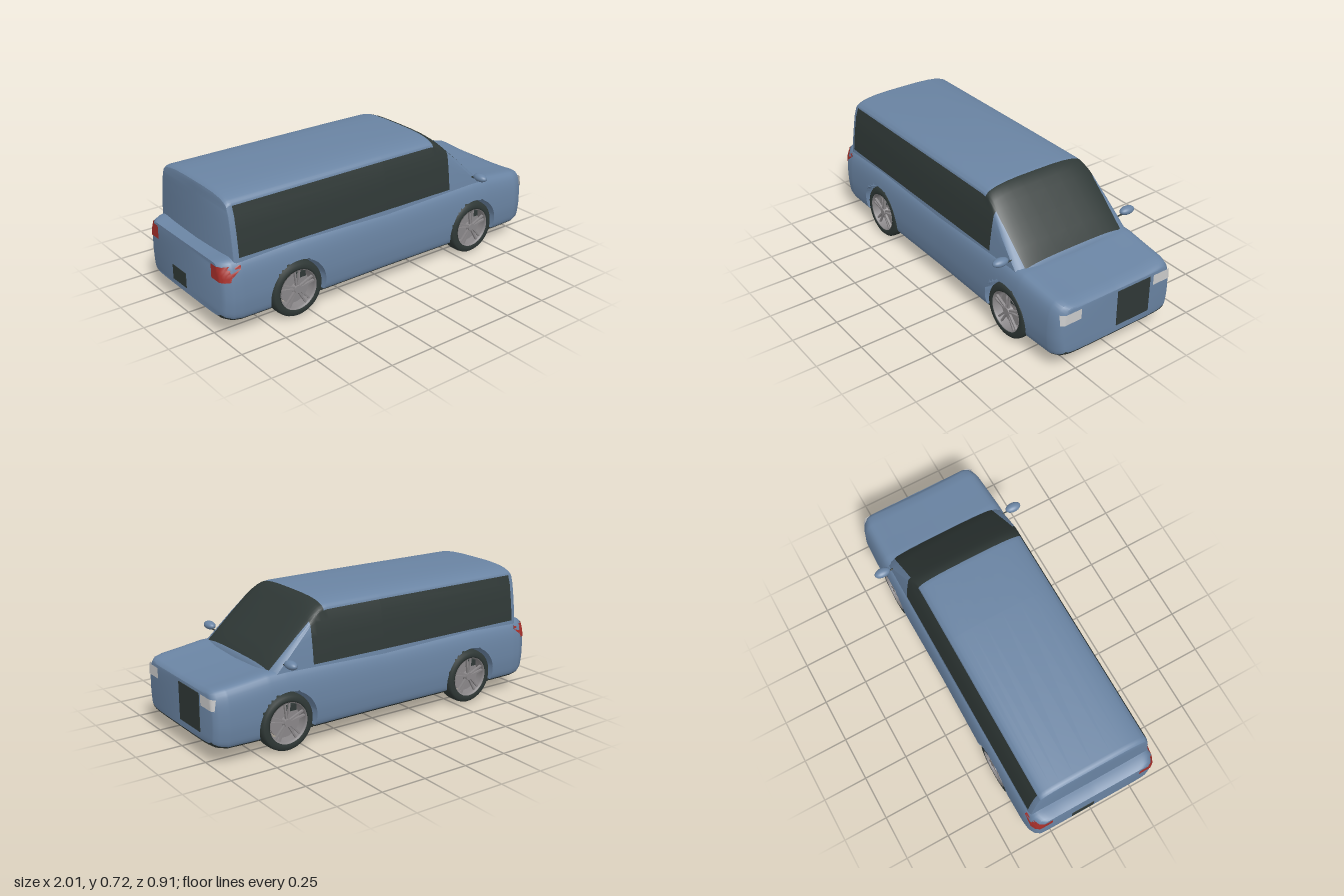
import * as THREE from 'three';
import { toCreasedNormals } from 'three/addons/utils/BufferGeometryUtils.js';

const mat = (name, color, side = THREE.FrontSide) => {
  const m = new THREE.MeshStandardMaterial({ color, side });
  m.name = name;
  return m;
};
const paint = mat('blue paint', 0x6a84a3);
const dark = mat('dark glass and rubber', 0x2f3836);
const metal = mat('wheel grey', 0x8a8789, THREE.DoubleSide);
const white = mat('headlight white', 0xcacaca, THREE.DoubleSide);
const red = mat('tail light red', 0xa62f2a, THREE.DoubleSide);

const WHEELS = [-0.58, 0.6], WHEEL_Y = 0.15, ARCH = 0.166;

// Linear lookup of column k in a table sorted by its first column
function lookup(table, x, k = 1) {
  let i = 1;
  while (i < table.length - 1 && x > table[i][0]) i++;
  const a = table[i - 1], b = table[i];
  const t = THREE.MathUtils.clamp((x - a[0]) / (b[0] - a[0]), 0, 1);
  return a[k] + (b[k] - a[k]) * t;
}

function add(parent, name, geometry, material, x = 0, y = 0, z = 0) {
  const m = new THREE.Mesh(geometry, material);
  m.name = name;
  m.position.set(x, y, z);
  parent.add(m);
  return m;
}

// Skin over rings of points; isDark(i, j, centre) picks the material of each cell
function loft(rings, isDark, crease) {
  const n = rings[0].length, pos = [], lists = [[], []];
  rings.forEach(r => r.forEach(p => pos.push(p.x, p.y, p.z)));
  for (let i = 0; i < rings.length - 1; i++) {
    for (let j = 0; j < n - 1; j++) {
      const a = i * n + j, b = a + n;
      const c = new THREE.Vector3();
      [rings[i][j], rings[i + 1][j], rings[i][j + 1], rings[i + 1][j + 1]].forEach(p => c.addScaledVector(p, 0.25));
      lists[isDark(i, j, c) ? 1 : 0].push(a, b, a + 1, b, b + 1, a + 1);
    }
  }
  const g = new THREE.BufferGeometry();
  g.setAttribute('position', new THREE.Float32BufferAttribute(pos, 3));
  g.setIndex([...lists[0], ...lists[1]]);
  g.addGroup(0, lists[0].length, 0);
  g.addGroup(lists[0].length, lists[1].length, 1);
  return toCreasedNormals(g, crease);
}

// Lower body: x, width scale, bottom, top
const BODY = [
  [-1, 0.87, 0.11, 0.395], [-0.985, 0.93, 0.097, 0.403], [-0.95, 0.975, 0.082, 0.41],
  [-0.9, 0.99, 0.075, 0.415], [-0.58, 1, 0.075, 0.42], [0, 0.985, 0.075, 0.415], [0.6, 1, 0.075, 0.422],
  [0.7, 1, 0.075, 0.418], [0.8, 0.99, 0.075, 0.405], [0.93, 0.975, 0.076, 0.39],
  [0.975, 0.94, 0.088, 0.382], [0.995, 0.89, 0.1, 0.37], [1, 0.86, 0.11, 0.36],
];
const HALF = [
  [0, 0.075], [0.14, 0.075], [0.28, 0.077], [0.345, 0.086], [0.369, 0.107], [0.379, 0.16], [0.383, 0.22],
  [0.38, 0.3], [0.37, 0.36], [0.351, 0.4], [0.315, 0.415], [0.2, 0.408], [0, 0.402],
];

function bodyGeometry() {
  const half = new THREE.SplineCurve(HALF.map(p => new THREE.Vector2(...p))).getSpacedPoints(64);
  const loop = [...half, ...half.slice(0, -1).reverse().map(p => new THREE.Vector2(-p.x, p.y))];
  const xs = BODY.map(s => s[0]);
  for (let x = -0.94; x < 0.94; x += 0.01) xs.push(x);
  xs.sort((a, b) => a - b);
  const ring = (x, shrink) => loop.map(p => {
    const w = lookup(BODY, x), b = lookup(BODY, x, 2), t = lookup(BODY, x, 3);
    const v = new THREE.Vector3(x, b + (p.y - 0.075) / 0.34 * (t - b), p.x * w * shrink);
    // Wheel arches: snap the rim to a circle, push the inside back
    for (const wx of WHEELS) {
      const dx = v.x - wx, dy = v.y - WHEEL_Y, d = Math.hypot(dx, dy);
      if (Math.abs(v.z) < 0.255 || d > ARCH + 0.006) continue;
      if (d > ARCH - 0.006) {
        v.x = wx + dx / d * ARCH;
        v.y = WHEEL_Y + dy / d * ARCH;
      } else v.z = Math.sign(v.z) * 0.255;
    }
    return v;
  });
  const rings = [ring(-1, 0), ...xs.map(x => ring(x, 1)), ring(1, 0)];
  const last = rings.length - 2;
  return loft(rings, (i, j) => i > 0 && i < last && (loop[j].y + loop[j + 1].y) / 2 < 0.104, 0.6);
}

// Cabin: x, width scale, roof height
const CABIN = [
  [-0.93, 0.965, 0.69], [-0.927, 0.98, 0.704], [-0.915, 0.995, 0.714], [-0.9, 1, 0.717], [0, 1, 0.721],
  [0.32, 1, 0.72], [0.345, 1, 0.717], [0.37, 1, 0.708], [0.4, 1, 0.687], [0.435, 1, 0.656], [0.52, 1, 0.577],
  [0.6, 1, 0.501], [0.672, 1, 0.434], [0.683, 1, 0.415], [0.69, 0.99, 0.39],
];
const SIDE = [[0.36, 0.355], [0.415, 0.35], [0.48, 0.343], [0.55, 0.333], [0.62, 0.321], [0.67, 0.304]];

function cabinGeometry() {
  const ring = (s, shrink) => {
    const [x, w, H] = s, top = Math.min(0.67, H - 0.05);
    const half = SIDE.map(([y]) => [Math.min(y, top), lookup(SIDE, Math.min(y, top))]);
    const zt = lookup(SIDE, top), edge = Math.min(0.995, 0.307 / zt);
    const us = [(1 + edge) / 2, ...[1, 0.985, 0.96, 0.92, 0.86, 0.76, 0.6, 0.35, 0].map(f => f * edge)];
    us.forEach(u => half.push([top + (H - top) * Math.sqrt(1 - u ** 3.5), u * zt]));
    const left = half.map(([y, z]) => new THREE.Vector3(x, y, z * w * shrink));
    return [...left, ...left.slice(0, -1).reverse().map(p => new THREE.Vector3(p.x, p.y, -p.z))];
  };
  const rings = [ring(CABIN[0], 0), ...CABIN.map(s => ring(s, 1))];
  const n = rings[0].length;
  return loft(rings, (i, j, c) => {
    const k = Math.min(j, n - 2 - j);
    const sideGlass = c.x > -0.9 && c.x < 0.435 && k >= 1 && (k < 5 || c.x > 0.345);
    const windscreen = c.x > 0.345 && c.x < 0.672 && k >= 7;
    return sideGlass || windscreen;
  }, 0.6);
}

// Lamp skin wrapped around a body corner; end = 1 front, -1 rear
function lampGeometry(end, side, z0, z1, y0, y1) {
  const ends = BODY.filter(s => s[0] * end > 0.85).map(s => [s[1], s[0]]).sort((a, b) => a[0] - b[0]);
  const prof = HALF.slice(4, 10).map(([z, y]) => [y, z]);
  const g = new THREE.PlaneGeometry(1, 1, 24, 4), p = g.attributes.position;
  for (let i = 0; i < p.count; i++) {
    const z = z0 + (z1 - z0) * (p.getX(i) + 0.5), y = y0 + (y1 - y0) * (p.getY(i) + 0.5);
    const x = lookup(ends, z / lookup(prof, y + 0.01));
    p.setXYZ(i, x + end * 0.004, y, side * (z + (z > 0.32 ? 0.004 : 0)));
  }
  g.computeVertexNormals();
  return g;
}

// Wheel facing +z, outer face at z = 0.05
function wheel() {
  const g = new THREE.Group();
  g.name = 'wheel';
  const lathe = pts => new THREE.LatheGeometry(pts.map(p => new THREE.Vector2(...p)), 48).rotateX(Math.PI / 2);
  add(g, 'tyre', lathe([[0.106, -0.045], [0.118, -0.05], [0.138, -0.048], [0.147, -0.038], [0.15, -0.02], [0.15, 0.02],
    [0.147, 0.038], [0.138, 0.048], [0.118, 0.05], [0.106, 0.045], [0.106, -0.045]]), dark);
  add(g, 'rim', lathe([[0.101, -0.04], [0.101, 0.035], [0.104, 0.047], [0.109, 0.049]]), metal);
  add(g, 'brakeDisc', new THREE.CylinderGeometry(0.086, 0.086, 0.012, 40).rotateX(Math.PI / 2), metal, 0, 0, 0.005);
  add(g, 'brakeCaliper', new THREE.BoxGeometry(0.06, 0.032, 0.03), dark, 0.03, 0.066, 0.01);
  add(g, 'hub', new THREE.CylinderGeometry(0.02, 0.024, 0.03, 24).rotateX(Math.PI / 2), metal, 0, 0, 0.03);
  for (let i = 0; i < 5; i++) {
    const spoke = new THREE.Group();
    spoke.name = 'spoke';
    spoke.rotation.z = i * Math.PI * 2 / 5;
    for (const s of [-1, 1]) {
      const bar = add(spoke, 'spokeBar', new THREE.BoxGeometry(0.009, 0.09, 0.012), metal, s * 0.009, 0.058, 0.034);
      bar.rotation.z = -s * 0.1;
    }
    g.add(spoke);
  }
  return g;
}

export function createModel() {
  const car = new THREE.Group();
  car.name = 'car';
  add(car, 'body', bodyGeometry(), [paint, dark]);
  add(car, 'cabin', cabinGeometry(), [paint, dark]);

  for (const s of [1, -1]) {
    for (const x of WHEELS) {
      const w = wheel();
      w.position.set(x, WHEEL_Y, s * 0.323);
      if (s < 0) w.rotation.y = Math.PI;
      car.add(w);
    }
    add(car, 'headlight', lampGeometry(1, s, 0.23, 0.345, 0.29, 0.347), white);
    add(car, 'tailLight', lampGeometry(-1, s, 0.26, 0.364, 0.31, 0.385), red);
    // Door mirror on a short stalk
    add(car, 'mirror', new THREE.SphereGeometry(1, 32, 20).scale(0.027, 0.022, 0.045), paint, 0.605, 0.462, s * 0.408);
    add(car, 'mirrorStalk', new THREE.CylinderGeometry(0.004, 0.004, 0.06, 10).rotateX(Math.PI / 2), dark, 0.605, 0.447, s * 0.36);
  }

  // Offset dark panels on the nose and tail
  add(car, 'frontGrille', new THREE.BoxGeometry(0.006, 0.2, 0.21), dark, 1, 0.245, -0.105);
  add(car, 'rearPlate', new THREE.BoxGeometry(0.006, 0.08, 0.13), dark, -1, 0.18, -0.065);
  return car;
}
